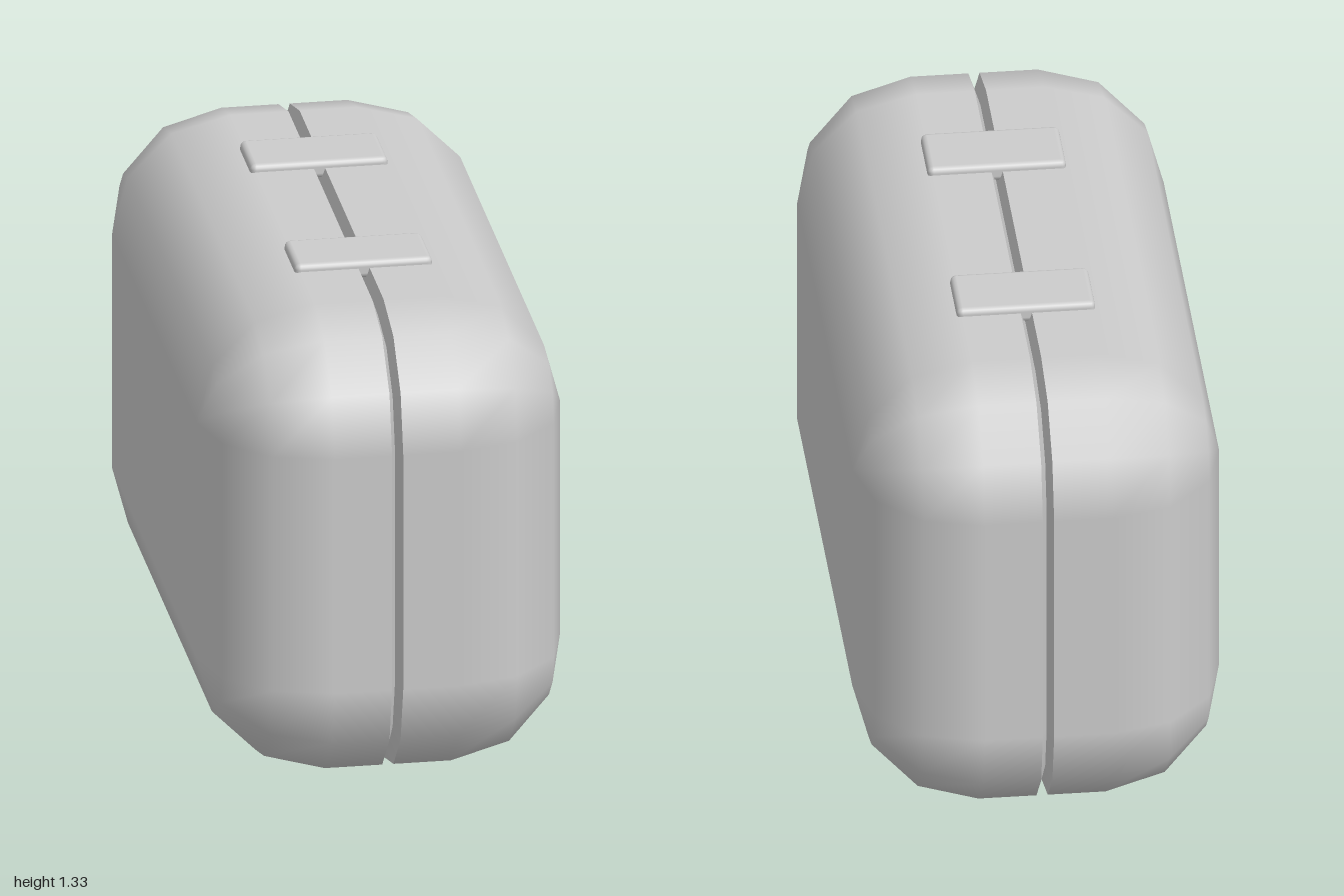
import * as THREE from 'three';
import { RoundedBoxGeometry } from 'three/addons/geometries/RoundedBoxGeometry.js';

const HEIGHT = 1.31, RADIUS = 0.32, STEPS = 3;
const FLAT_X = 0.17;                 // where the outer rounding starts
const CORE_Y = HEIGHT / 2 - RADIUS;  // centres of the corner rounding
const CORE_Z = 1 - RADIUS;
const GROOVE_WIDTH = 0.015, GROOVE_DEPTH = 0.045;

// One half of the case, lofted from rounded rectangles along +x
function halfShellGeometry() {
  const grooveTilt = -Math.atan2(GROOVE_DEPTH, GROOVE_WIDTH);
  // each ring: x, corner radius, tilt of its normals towards +x
  const rings = [
    [0, RADIUS - GROOVE_DEPTH, grooveTilt],
    [GROOVE_WIDTH, RADIUS, grooveTilt],
    [GROOVE_WIDTH, RADIUS, 0],
  ];
  for (let i = 0; i <= STEPS; i++) {
    const a = (i / STEPS) * Math.PI / 2;
    rings.push([FLAT_X + RADIUS * Math.sin(a), RADIUS * Math.cos(a), a]);
  }

  const positions = [], normals = [], index = [];
  const corners = [[1, 1], [-1, 1], [-1, -1], [1, -1]];
  for (const [x, r, tilt] of rings) {
    corners.forEach(([sy, sz], q) => {
      for (let k = 0; k <= STEPS; k++) {
        const b = (q + k / STEPS) * Math.PI / 2;
        const c = Math.cos(b), s = Math.sin(b);
        positions.push(x, sy * CORE_Y + r * c, sz * CORE_Z + r * s);
        normals.push(Math.sin(tilt), Math.cos(tilt) * c, Math.cos(tilt) * s);
      }
    });
  }

  const n = 4 * (STEPS + 1);
  const last = rings.length - 1;
  for (let i = 0; i < last; i++) {
    if (i === 1) continue; // sharp lip of the groove
    for (let j = 0; j < n; j++) {
      const a = i * n + j, b = i * n + (j + 1) % n;
      index.push(a, b, a + n);
      // the last ring has no width at the corners
      if (i < last - 1 || j % (STEPS + 1) === STEPS) index.push(b, b + n, a + n);
    }
  }
  // flat outer side
  const [p, q, r, s] = [0, 1, 2, 3].map((c) => last * n + c * (STEPS + 1));
  index.push(p, q, r, p, r, s);

  const geometry = new THREE.BufferGeometry();
  geometry.setAttribute('position', new THREE.Float32BufferAttribute(positions, 3));
  geometry.setAttribute('normal', new THREE.Float32BufferAttribute(normals, 3));
  geometry.setIndex(index);
  return geometry;
}

export function createModel() {
  const group = new THREE.Group();
  group.name = 'case';
  const grey = new THREE.MeshStandardMaterial({ color: 0xcccccc });
  grey.name = 'grey';

  // Two matching shells meeting in a V-shaped seam
  const shell = halfShellGeometry();
  for (const side of ['left', 'right']) {
    const mesh = new THREE.Mesh(shell, grey);
    mesh.name = side + 'Shell';
    mesh.position.y = HEIGHT / 2;
    if (side === 'right') mesh.rotation.y = Math.PI;
    group.add(mesh);
  }

  // Two latches across the seam on top
  const latch = new RoundedBoxGeometry(0.37, 0.05, 0.19, 2, 0.016);
  for (const [name, z] of [['frontLatch', 0.36], ['backLatch', -0.36]]) {
    const mesh = new THREE.Mesh(latch, grey);
    mesh.name = name;
    mesh.position.set(0, 1.305, z);
    group.add(mesh);
  }
  return group;
}
